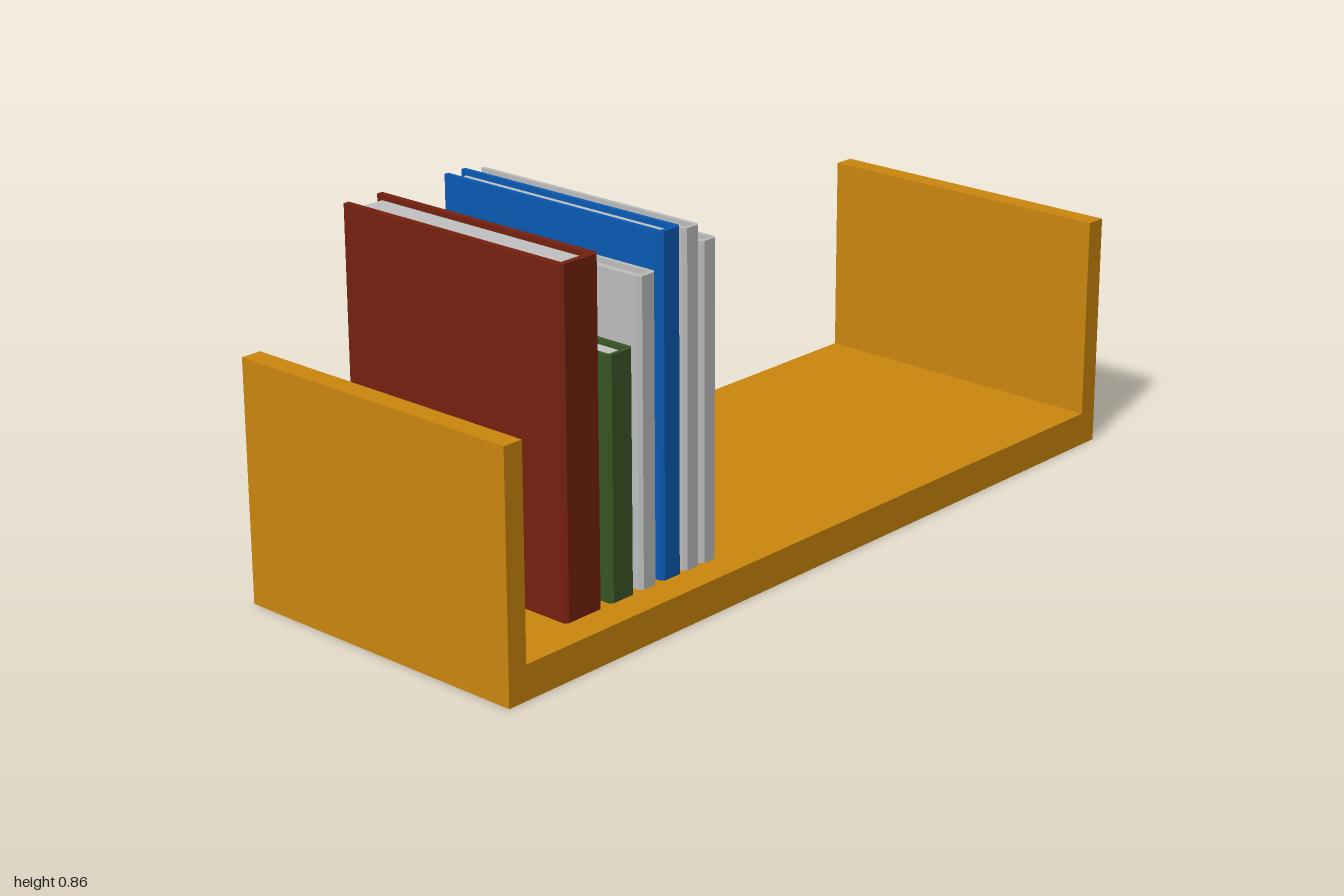
import * as THREE from 'three';

const material = (name, color) => {
  const m = new THREE.MeshStandardMaterial({ color });
  m.name = name;
  return m;
};

export function createModel() {
  const wood = material('honey wood', 0xcc870e);
  const paper = material('paper', 0xc2c2c2);
  const grey = material('grey cover', 0xbebebe);
  const red = material('dark red cover', 0x76210e);
  const green = material('green cover', 0x395725);
  const blue = material('blue cover', 0x0a5ab4);

  const model = new THREE.Group();
  model.name = 'bookRack';

  const addBox = (parent, name, mat, x0, x1, y0, y1, z0, z1) => {
    const mesh = new THREE.Mesh(new THREE.BoxGeometry(x1 - x0, y1 - y0, z1 - z0), mat);
    mesh.position.set((x0 + x1) / 2, (y0 + y1) / 2, (z0 + z1) / 2);
    mesh.name = name;
    parent.add(mesh);
  };

  // Rack: a U-shaped section extruded across its width
  const section = new THREE.Shape([
    [-1, 0], [1, 0], [1, 0.56], [0.95, 0.56], [0.95, 0.08],
    [-0.95, 0.08], [-0.95, 0.56], [-1, 0.56],
  ].map(([z, y]) => new THREE.Vector2(z, y)));
  const rackGeo = new THREE.ExtrudeGeometry(section, { depth: 0.77, bevelEnabled: false });
  rackGeo.translate(0, 0, -0.385).rotateY(-Math.PI / 2);
  const rack = new THREE.Mesh(rackGeo, wood);
  rack.name = 'rack';
  model.add(rack);

  // Book: a wrapped cover with softened spine corners around a page block
  const addBook = (name, mat, zBack, zFront, top, foreEdge, t) => {
    const book = new THREE.Group();
    book.name = name;
    const bottom = 0.083;
    const spine = 0.315;
    const h = (zFront - zBack) / 2;
    const c = 0.008;
    const outline = new THREE.Shape([
      [foreEdge, -h], [spine - c, -h], [spine, c - h], [spine, h - c], [spine - c, h],
      [foreEdge, h], [foreEdge, h - t], [spine - t, h - t], [spine - t, t - h], [foreEdge, t - h],
    ].map(([x, y]) => new THREE.Vector2(x, y)));
    const geo = new THREE.ExtrudeGeometry(outline, { depth: top - bottom, bevelEnabled: false });
    geo.rotateX(-Math.PI / 2);
    const cover = new THREE.Mesh(geo, mat);
    cover.position.set(0, bottom, (zBack + zFront) / 2);
    cover.name = 'cover';
    book.add(cover);
    addBox(book, 'pages', paper, foreEdge + 0.015, spine - t,
      bottom + 0.01, top - 0.012, zBack + t, zFront - t);
    model.add(book);
  };

  addBook('largeRedBook', red, 0.653, 0.763, 0.855, -0.317, 0.015);
  addBook('shortGreenBook', green, 0.555, 0.629, 0.63, -0.14, 0.01);
  addBook('greyBookFront', grey, 0.485, 0.537, 0.775, -0.317, 0.01);
  addBook('blueBook', blue, 0.409, 0.471, 0.855, -0.317, 0.011);
  addBook('greyBookMiddle', grey, 0.351, 0.4, 0.845, -0.317, 0.009);
  addBook('greyBookBack', grey, 0.298, 0.347, 0.805, -0.317, 0.009);

  return model;
}
